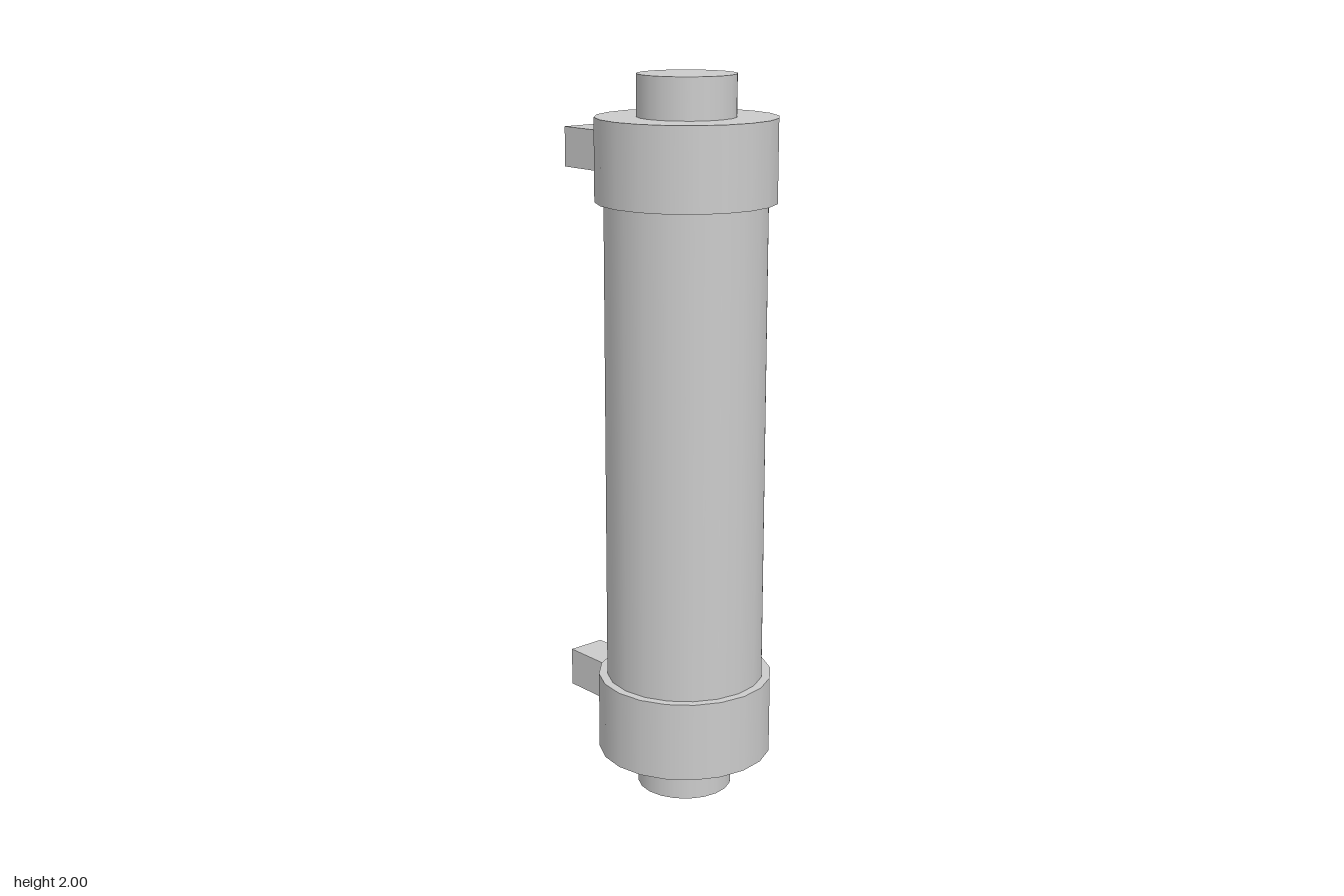
import * as THREE from 'three';

const AXIS_Z = 0.1; // the tube stands forward of its brackets
const SIDES = 20;

export function createModel() {
  const group = new THREE.Group();
  const material = new THREE.MeshStandardMaterial({ color: 0xcccccc });

  function add(name, geometry, y, z = AXIS_Z) {
    const mesh = new THREE.Mesh(geometry, material);
    mesh.name = name;
    mesh.position.set(0, y, z);
    group.add(mesh);
  }

  function addCylinder(name, radius, bottom, top) {
    add(name, new THREE.CylinderGeometry(radius, radius, top - bottom, SIDES), (bottom + top) / 2);
  }

  // Main tube between the two collars
  addCylinder('tube', 0.22, 0.3, 1.7);

  // Collars with their end stubs
  addCylinder('lowerCollar', 0.244, 0.111, 0.333);
  addCylinder('upperCollar', 0.244, 1.667, 1.889);
  addCylinder('lowerStub', 0.133, 0, 0.12);
  addCylinder('upperStub', 0.133, 1.88, 2);

  // Mounting brackets reaching back from each collar
  const front = -0.125, back = -0.344;
  for (const [name, y] of [['lowerBracket', 0.222], ['upperBracket', 1.778]]) {
    add(name, new THREE.BoxGeometry(0.111, 0.111, front - back), y, (front + back) / 2);
  }

  return group;
}
